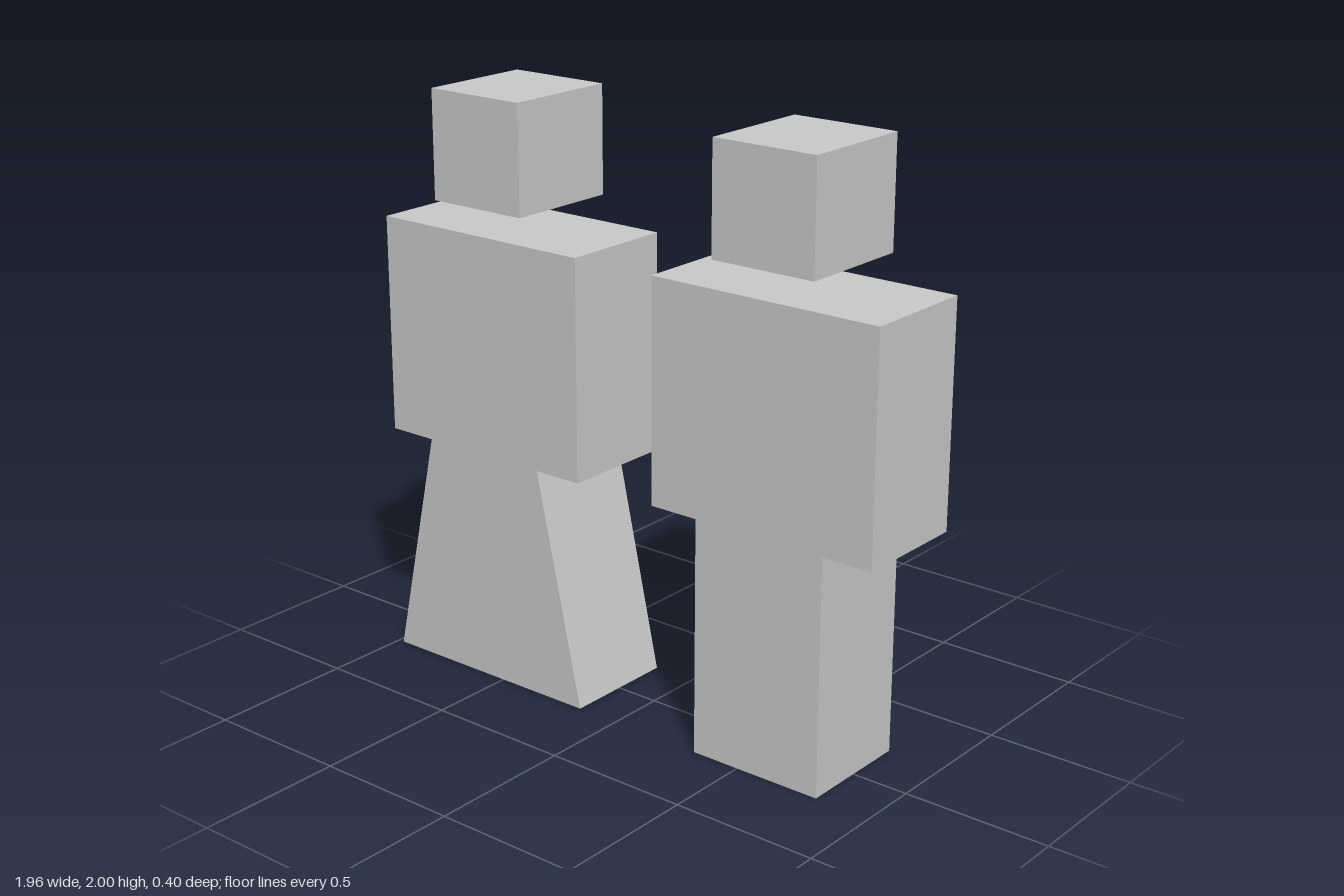
import * as THREE from 'three';

const DEPTH = 0.402;
const CENTRE = 0.566; // distance of each figure from the middle
const HIP = 0.238, SHOULDER = 0.413;
const HIP_Y = 0.8, SHOULDER_Y = 1.545;

const material = new THREE.MeshStandardMaterial({ color: 0xcccccc, flatShading: true });

// Blocky figure: one extruded torso-and-legs outline and a floating cube head
function createFigure(name, x, footHalfWidth) {
  const figure = new THREE.Group();
  figure.name = name;
  figure.position.x = x;

  const half = [[footHalfWidth, 0], [HIP, HIP_Y], [SHOULDER, HIP_Y], [SHOULDER, SHOULDER_Y]];
  const mirrored = half.map(([px, py]) => [-px, py]).reverse();
  const outline = new THREE.Shape([...half, ...mirrored].map(([px, py]) => new THREE.Vector2(px, py)));
  const bodyGeometry = new THREE.ExtrudeGeometry(outline, { depth: DEPTH, bevelEnabled: false });
  bodyGeometry.translate(0, 0, -DEPTH / 2);
  const body = new THREE.Mesh(bodyGeometry, material);
  body.name = 'body';

  const head = new THREE.Mesh(new THREE.BoxGeometry(0.37, 0.366, DEPTH), material);
  head.name = 'head';
  head.position.y = 2 - 0.366 / 2;

  figure.add(body, head);
  return figure;
}

export function createModel() {
  const model = new THREE.Group();
  model.name = 'figurePair';
  model.add(
    createFigure('skirtedFigure', -CENTRE, SHOULDER), // legs flare to shoulder width
    createFigure('straightFigure', CENTRE, HIP),
  );
  return model;
}
